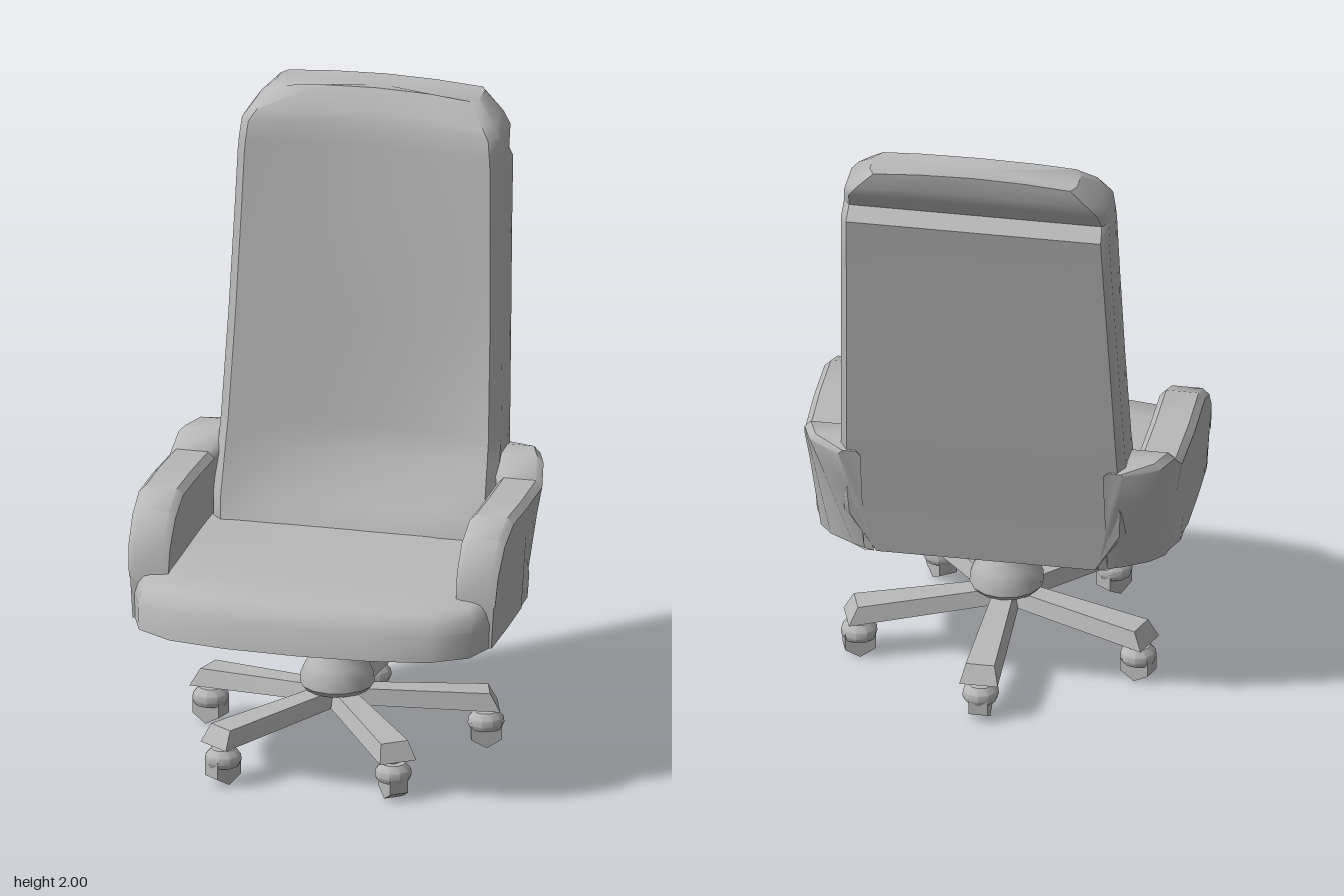
import * as THREE from 'three';
import { toCreasedNormals } from 'three/addons/utils/BufferGeometryUtils.js';

const grey = new THREE.MeshStandardMaterial({ color: 0xb8b8b8 });
grey.name = 'grey';

// Skin a list of equal-length rings and close both ends with fans.
function loft(rings, crease = 0.75) {
  const n = rings[0].length, pos = rings.flat(2), idx = [];
  for (let r = 0; r < rings.length - 1; r++) {
    for (let i = 0; i < n; i++) {
      const j = (i + 1) % n, a = r * n, b = a + n;
      idx.push(a + i, a + j, b + j, a + i, b + j, b + i);
    }
  }
  [0, rings.length - 1].forEach((r, end) => {
    const c = pos.length / 3;
    for (let k = 0; k < 3; k++) pos.push(rings[r].reduce((s, p) => s + p[k], 0) / n);
    for (let i = 0; i < n; i++) {
      const p = r * n + i, q = r * n + (i + 1) % n;
      if (end) idx.push(c, p, q); else idx.push(c, q, p);
    }
  });
  const g = new THREE.BufferGeometry();
  g.setAttribute('position', new THREE.Float32BufferAttribute(pos, 3));
  g.setIndex(idx);
  return toCreasedNormals(g.toNonIndexed(), crease);
}

// Complete a half ring (front centre to back centre) on the other side.
const mirrorRing = half =>
  [...half, ...half.slice(1, -1).reverse().map(([x, y, z]) => [-x, y, z])];

function add(parent, name, geometry) {
  const m = new THREE.Mesh(geometry, grey);
  m.name = name;
  parent.add(m);
  return m;
}

// Seat cushion: a rounded plan outline stacked upward with a rolled front
function seatGeometry() {
  const plan = [[0, .575], [.23, .565], [.41, .535], [.525, .465], [.572, .34], [.572, .1],
    [.57, -.1], [.53, -.21], [.42, -.3], [.25, -.33], [0, -.33]];
  // height, front depth scale, width scale
  const levels = [[.5, 1, 1], [.58, .97, 1.01], [.615, .935, 1], [.638, .885, .985], [.657, .68, .95], [.655, .3, .9]];
  return loft(levels.map(([y, d, w]) =>
    mirrorRing(plan.map(([x, z]) => [x * w, y, z > 0 ? z * d : z]))));
}

// Backrest: horizontal sections, hollowed in front, with a groove under the headrest
function backGeometry() {
  // y, half width, front centre z, front edge z, back z, crown
  const levels = [
    [.5, .36, -.1, -.1, -.332, 0], [.64, .445, -.13, -.13, -.355, 0],
    [.72, .45, -.19, -.15, -.369, 0], [.87, .447, -.275, -.2, -.396, 0],
    [.95, .445, -.287, -.228, -.41, 0], [1.28, .435, -.315, -.285, -.465, 0],
    [1.6, .425, -.35, -.322, -.518, 0], [1.79, .42, -.376, -.343, -.551, 0],
    [1.83, .417, -.381, -.347, -.512, 0], [1.89, .41, -.39, -.356, -.557, .005],
    [1.925, .385, -.405, -.375, -.573, .01], [1.985, .325, -.45, -.44, -.578, .015]];
  return loft(levels.map(([y, w, zc, ze, zb, up]) => mirrorRing([
    [0, y + up, zc], [w * .55, y + up * .7, zc + (ze - zc) * .3], [w * .93, y, ze],
    [w, y, ze - .035], [w, y, zb + .03], [w * .95, y, zb], [w * .5, y + up * .7, zb], [0, y + up, zb]])));
}

// Armrest: upright sections running from the front curve to the backrest
function armGeometry(side) {
  // z, top y, inner x, outer x, bottom outer x, bottom z
  const stations = [
    [.365, .655, .458, .582, .57, .365], [.345, .75, .456, .588, .571, .345],
    [.28, .825, .455, .592, .573, .28], [.18, .865, .455, .596, .575, .18],
    [0, .858, .455, .598, .575, 0], [-.2, .848, .45, .592, .54, -.2],
    [-.265, .903, .41, .58, .5, -.25], [-.345, .905, .4, .55, .42, -.3],
    [-.405, .89, .38, .45, .35, -.33]];
  return loft(stations.map(([z, y, xi, xo, xb, zb]) => {
    const mid = (y + .5) / 2, bev = Math.min(.02, (xo - xi) * .2);
    const ring = [[xi, .5, zb], [xi, y - bev, z], [xi + bev, y, z], [xo - bev, y, z],
      [xo, y - bev, z], [(xo * 2 + xb) / 3, mid + .06, z * .7 + zb * .3], [xb, .5, zb]];
    return side > 0 ? ring : ring.map(([x, b, c]) => [-x, b, c]).reverse();
  }));
}

const lathe = (points, sides) => toCreasedNormals(
  new THREE.LatheGeometry(points.map(p => new THREE.Vector2(...p)), sides), .75);

// One spoke of the base with its caster, pointing along +z
function spoke() {
  const g = new THREE.Group();
  const ring = (zb, zt, yb, yt, wb, wt) => [[wb, yb, zb], [wt, yt, zt], [-wt, yt, zt], [-wb, yb, zb]];
  add(g, 'leg', loft([ring(0, 0, .165, .212, .045, .03), ring(.5, .47, .128, .185, .06, .045)], .5));
  const caster = new THREE.Group();
  caster.name = 'caster';
  caster.position.z = .46;
  add(caster, 'casterStem', new THREE.CylinderGeometry(.018, .018, .06, 8)).position.y = .13;
  add(caster, 'casterHood', lathe([[0, .06], [.05, .06], [.057, .075], [.055, .095], [.038, .115], [0, .117]], 10));
  const wheel = new THREE.CylinderGeometry(.055, .055, .06, 6);
  wheel.rotateZ(Math.PI / 2);
  // turn the hexagon so that a corner touches the floor
  wheel.computeBoundingBox();
  if (wheel.boundingBox.min.y > -.054) wheel.rotateX(Math.PI / 6);
  add(caster, 'casterWheel', toCreasedNormals(wheel, .5)).position.y = .055;
  g.add(caster);
  return g;
}

export function createModel() {
  const chair = new THREE.Group();
  chair.name = 'officeChair';
  add(chair, 'seat', seatGeometry());
  add(chair, 'backrest', backGeometry());
  add(chair, 'leftArm', armGeometry(1));
  add(chair, 'rightArm', armGeometry(-1));

  // Pedestal and five-spoke base, with one spoke straight back
  const base = new THREE.Group();
  base.name = 'base';
  base.position.z = .04;
  add(base, 'pedestal', lathe([[0, .2], [.1, .205], [.115, .222], [.113, .255], [.098, .29],
    [.07, .335], [.058, .375], [.055, .51]], 14));
  for (let i = 0; i < 5; i++) {
    const s = spoke();
    s.name = 'spoke' + (i + 1);
    s.rotation.y = Math.PI + i * Math.PI * 2 / 5;
    base.add(s);
  }
  chair.add(base);
  return chair;
}
